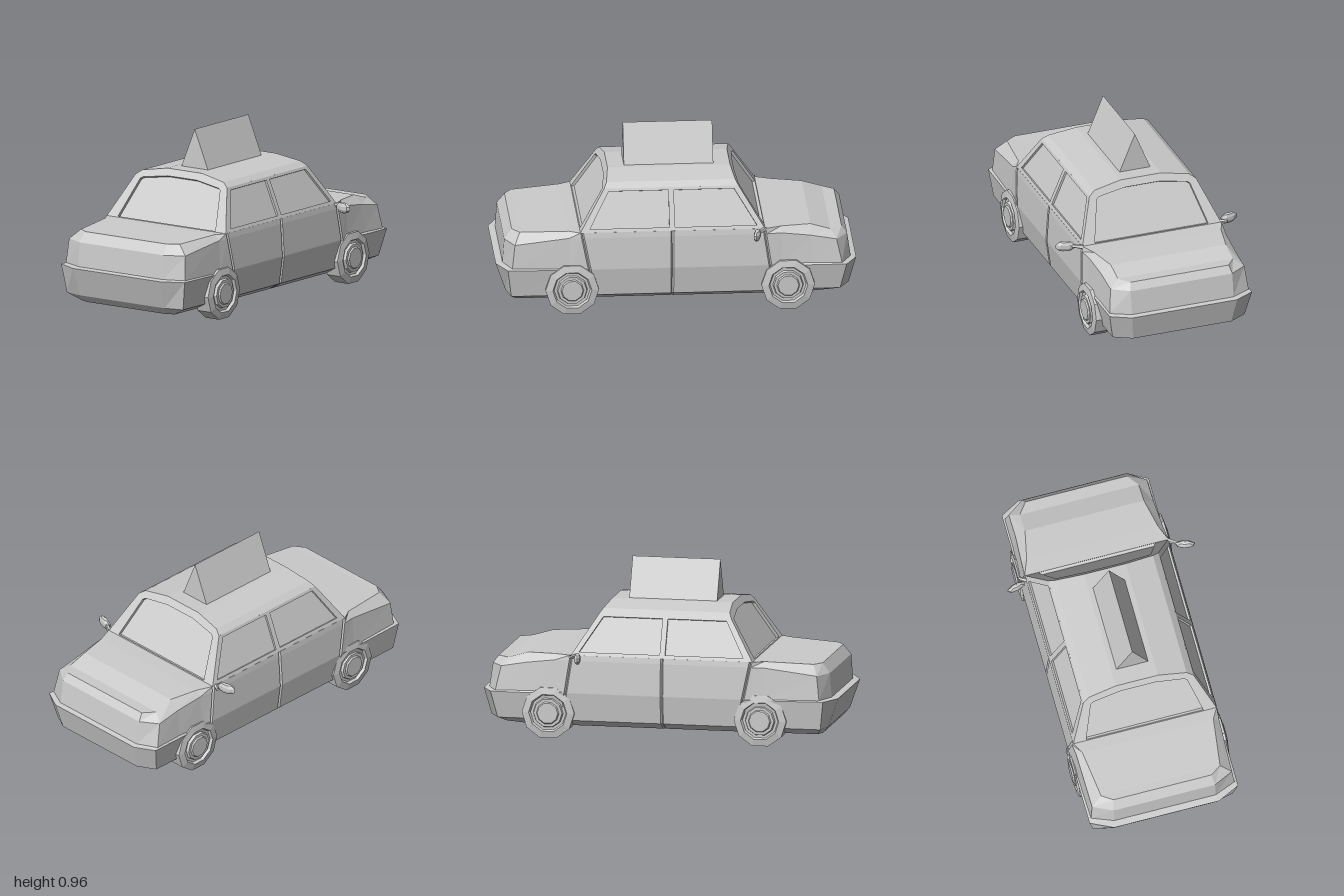
import * as THREE from 'three';

const V = (x, y, z) => new THREE.Vector3(x, y, z);
const mat = new THREE.MeshStandardMaterial({ color: 0xcccccc, flatShading: true });

// Collects polygons (corners counter-clockwise from outside) into one mesh
class Surface {
  constructor() { this.pts = []; }
  poly(...p) {
    for (let i = 1; i < p.length - 1; i++) this.pts.push(p[0], p[i], p[i + 1]);
  }
  // Frame between two outlines with a recessed pane
  pane(outer, inner, depth) {
    const n = V(0, 0, 0);
    for (let i = 1; i < inner.length - 1; i++) {
      n.add(inner[i].clone().sub(inner[0]).cross(inner[i + 1].clone().sub(inner[0])));
    }
    n.normalize().multiplyScalar(-depth);
    const back = inner.map(p => p.clone().add(n));
    inner.forEach((p, i) => {
      const j = (i + 1) % inner.length;
      this.poly(outer[i], outer[j], inner[j], p);
      this.poly(p, inner[j], back[j], back[i]);
    });
    this.poly(...back);
  }
  mesh(name) {
    const g = new THREE.BufferGeometry().setFromPoints(this.pts);
    g.computeVertexNormals();
    const m = new THREE.Mesh(g, mat);
    m.name = name;
    return m;
  }
}

const flip = p => V(p.x, p.y, -p.z);

// Lower body: stacked outlines with bumper ledge and door grooves
function makeBody() {
  // rearX, rearCornerX, frontCornerX, frontX | y rear, middle, hood, front | z rear end, rear side, doors, hood side, front end
  const layers = [
    [-.91, -.89, .86, .90, .06, .06, .06, .07, .27, .32, .33, .32, .27],
    [-.945, -.92, .90, .955, .10, .10, .10, .10, .29, .40, .405, .39, .29],
    [-1, -.94, .935, .995, .26, .255, .25, .25, .30, .425, .427, .42, .31],
    [-.962, -.915, .91, .965, .265, .26, .26, .255, .29, .41, .427, .41, .30],
    [-.952, -.90, .88, .945, .40, .437, .415, .39, .29, .40, .415, .395, .30],
    [-.91, -.87, .85, .915, .455, .467, .463, .43, .28, .34, .41, .34, .29],
  ];
  const s = new Surface();
  const halves = layers.map(([xr, xrc, xfc, xf, yr, ym, yh, yf, z0, z1, z2, z3, z4]) => {
    const row = [V(xr, yr, z0), V(xrc, yr, z1), V(-.6, ym, (z1 + z2) / 2)];
    for (const [x, slant] of [[-.53, .2], [-.03, 0], [.48, .15]]) {
      const c = x + (.467 - ym) * slant;
      row.push(V(c - .008, ym, z2), V(c, ym, z2 - .012), V(c + .008, ym, z2));
    }
    row.push(V(.575, ym, (z2 + z3) / 2), V(.74, yh, z3), V(xfc, yf, z3), V(xf, yf, z4));
    return row;
  });
  const rings = halves.map(h => [...h, ...h.map(flip).reverse()]);
  for (let k = 0; k < rings.length - 1; k++) {
    rings[k].forEach((p, i) => {
      const j = (i + 1) % rings[k].length;
      s.poly(p, rings[k][j], rings[k + 1][j], rings[k + 1][i]);
    });
  }
  const low = halves[0], top = halves[halves.length - 1];
  for (let i = 0; i < low.length - 1; i++) {
    s.poly(top[i], top[i + 1], flip(top[i + 1]), flip(top[i]));
    s.poly(low[i], flip(low[i]), flip(low[i + 1]), low[i + 1]);
  }
  return s.mesh('body');
}

// Cabin: sloped ends, leaning sides, faceted roof
function makeCabin() {
  const s = new Surface();
  const frontX = y => .485 - (y - .465) * .63;
  const rearX = y => -.54 + (y - .465) * .62;
  const sideZ = y => .41 - (y - .465) * .422;
  const outer = [[.41, .465], [.315, .69], [.28, .715], [.12, .742]];
  const inner = [[.335, .472], [.275, .672], [.26, .682], [.1, .705]];

  // Windscreen and rear window
  const outline = (half, xAt) => [
    ...half.map(([z, y]) => V(xAt(y), y, -z)),
    ...half.map(([z, y]) => V(xAt(y), y, z)).reverse(),
  ];
  s.pane(outline(outer, frontX), outline(inner, frontX), .016);
  s.pane(outline(outer, rearX).reverse(), outline(inner, rearX).reverse(), .016);

  // Side windows, either side of the centre pillar
  const at = (x, y) => V(x, y, sideZ(y));
  const sides = [
    [[at(-.54, .465), at(-.03, .465), at(-.03, .69), at(rearX(.69), .69)],
      [at(-.485, .485), at(-.045, .485), at(-.045, .675), at(-.375, .675)]],
    [[at(-.03, .465), at(.485, .465), at(frontX(.69), .69), at(-.03, .69)],
      [at(-.015, .485), at(.44, .485), at(.318, .675), at(-.015, .675)]],
  ];
  for (const [o, i] of sides) {
    s.pane(o, i, .012);
    s.pane(o.map(flip).reverse(), i.map(flip).reverse(), .012);
  }

  // Roof strips
  const roof = [...outer.slice(1), ...outer.slice(1).map(([z, y]) => [-z, y]).reverse()];
  for (let i = 0; i < roof.length - 1; i++) {
    const [z0, y0] = roof[i], [z1, y1] = roof[i + 1];
    s.poly(V(rearX(y0), y0, z0), V(frontX(y0), y0, z0), V(frontX(y1), y1, z1), V(rearX(y1), y1, z1));
  }
  return s.mesh('cabin');
}

// Ten-sided wheel with recessed rim and raised hub
function makeWheel(x, side) {
  const profile = [[0, 0], [.148, 0], [.148, .092], [.108, .1], [.1, .085], [.085, .085],
    [.08, .1], [.064, .1], [.058, .108], [0, .108]].map(([r, h]) => new THREE.Vector2(r, h));
  const wheel = new THREE.Mesh(new THREE.LatheGeometry(profile, 10, Math.PI / 2), mat);
  wheel.rotation.x = side * Math.PI / 2;
  wheel.position.set(x, .141, side * .335 - .006);
  wheel.name = 'wheel';
  return wheel;
}

// Door mirror: faceted pod on a short stalk
function makeMirror(side) {
  const g = new THREE.Group();
  g.name = 'doorMirror';
  const pod = new THREE.Mesh(new THREE.SphereGeometry(1, 7, 5), mat);
  pod.scale.set(.02, .032, .058);
  pod.rotation.y = side * -.25;
  pod.position.set(.435, .46, side * .482);
  pod.name = 'mirrorPod';
  const stalk = new THREE.Mesh(new THREE.CylinderGeometry(.009, .014, .075, 5), mat);
  stalk.position.set(.463, .462, side * .425);
  stalk.rotation.set(side * Math.PI / 2, 0, side * .55);
  stalk.name = 'mirrorStalk';
  g.add(pod, stalk);
  return g;
}

// Triangular roof sign
function makeSign() {
  const shape = new THREE.Shape([[-.092, 0], [.092, 0], [0, .222]].map(p => new THREE.Vector2(...p)));
  const g = new THREE.ExtrudeGeometry(shape, { depth: .495, bevelEnabled: false });
  g.rotateY(Math.PI / 2);
  const sign = new THREE.Mesh(g, mat);
  sign.position.set(-.275, .739, -.012);
  sign.name = 'roofSign';
  return sign;
}

export function createModel() {
  const car = new THREE.Group();
  car.name = 'car';
  const shell = new THREE.Group();
  shell.name = 'shell';
  shell.position.z = -.011;
  shell.add(makeBody(), makeCabin());
  car.add(shell, makeSign());
  for (const side of [1, -1]) {
    car.add(makeWheel(-.585, side), makeWheel(.61, side), makeMirror(side));
  }
  return car;
}
